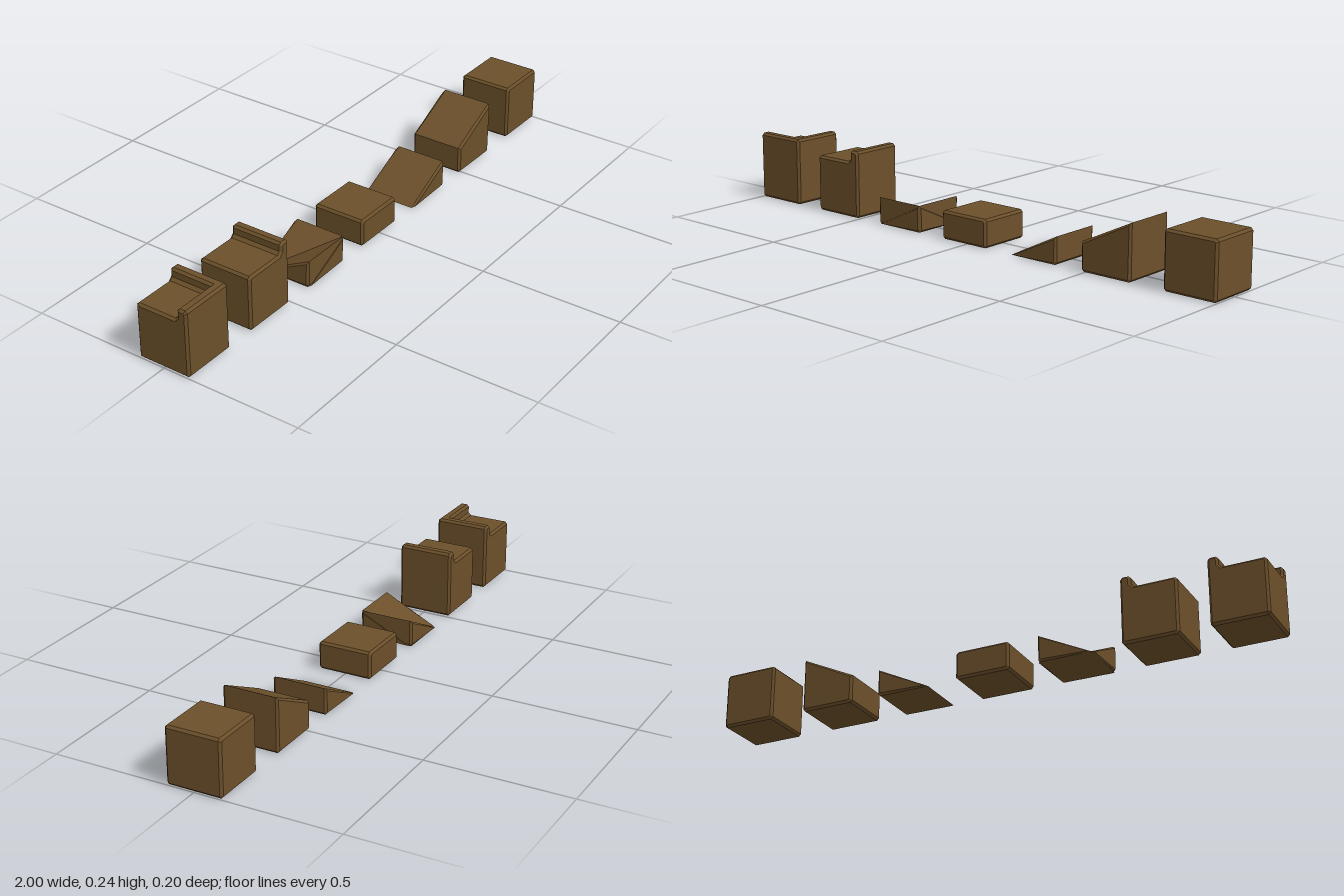
import * as THREE from 'three';

const HALF = 0.098;   // half the tile width
const BEVEL = 0.008;  // chamfer on tile edges

const material = new THREE.MeshStandardMaterial({ color: 0x6b4f2a, flatShading: true });

// Profile corners are [x, y, cut]; a corner with cut > 0 is chamfered by that length
function chamferedShape(corners) {
  const points = [];
  const count = corners.length;
  corners.forEach(([x, y, cut = 0], i) => {
    const here = new THREE.Vector2(x, y);
    if (!cut) return points.push(here);
    for (const j of [i + count - 1, i + 1]) {
      const [nx, ny] = corners[j % count];
      const step = new THREE.Vector2(nx - x, ny - y).setLength(cut);
      points.push(here.clone().add(step));
    }
  });
  return new THREE.Shape(points);
}

// Side profile drawn through the tile's depth, with chamfered front and back
function tileGeometry(corners) {
  const depth = 2 * (HALF - BEVEL);
  const geometry = new THREE.ExtrudeGeometry(chamferedShape(corners), {
    depth,
    bevelEnabled: true,
    bevelThickness: BEVEL,
    bevelSize: BEVEL,
    bevelOffset: -BEVEL,
    bevelSegments: 1,
  });
  return geometry.translate(0, 0, -depth / 2);
}

// Plain block of a given height
const block = (height) => tileGeometry([
  [-HALF, 0, BEVEL], [HALF, 0, BEVEL], [HALF, height, BEVEL], [-HALF, height, BEVEL],
]);

// Ramp rising to +x, ending in a thin edge
const ramp = () => tileGeometry([
  [-0.094, 0], [0.096, 0, BEVEL], [0.096, 0.096],
]);

// Ramp on top of a half-height block
const raisedRamp = () => tileGeometry([
  [-HALF, 0, BEVEL], [0.096, 0, BEVEL], [0.096, 0.193], [-HALF, 0.099],
]);

// Block with a low parapet along its +x edge
const parapetBlock = () => tileGeometry([
  [-HALF, 0, BEVEL], [HALF, 0, BEVEL], [HALF, 0.238, BEVEL], [0.061, 0.238, BEVEL],
  [0.061, 0.198, 0.01], [-HALF, 0.198, BEVEL],
]);

export function createModel() {
  const model = new THREE.Group();
  model.name = 'terrainTiles';

  // Corner tiles join two crossed copies, one turned to face +z
  const tiles = [
    ['cornerParapetBlock', -0.902, parapetBlock(), true],
    ['edgeParapetBlock', -0.604, parapetBlock()],
    ['innerCornerRamp', -0.308, ramp(), true],
    ['halfBlock', -0.01, block(0.099)],
    ['lowRamp', 0.288, ramp()],
    ['raisedRamp', 0.584, raisedRamp()],
    ['fullBlock', 0.902, block(0.198)],
  ];

  for (const [name, x, geometry, isCorner] of tiles) {
    const tile = new THREE.Group();
    tile.name = name;
    tile.position.x = x;
    const side = new THREE.Mesh(geometry, material);
    side.name = name + 'Side';
    tile.add(side);
    if (isCorner) {
      const front = new THREE.Mesh(geometry, material);
      front.name = name + 'Front';
      front.rotation.y = -Math.PI / 2;
      tile.add(front);
    }
    model.add(tile);
  }
  return model;
}
